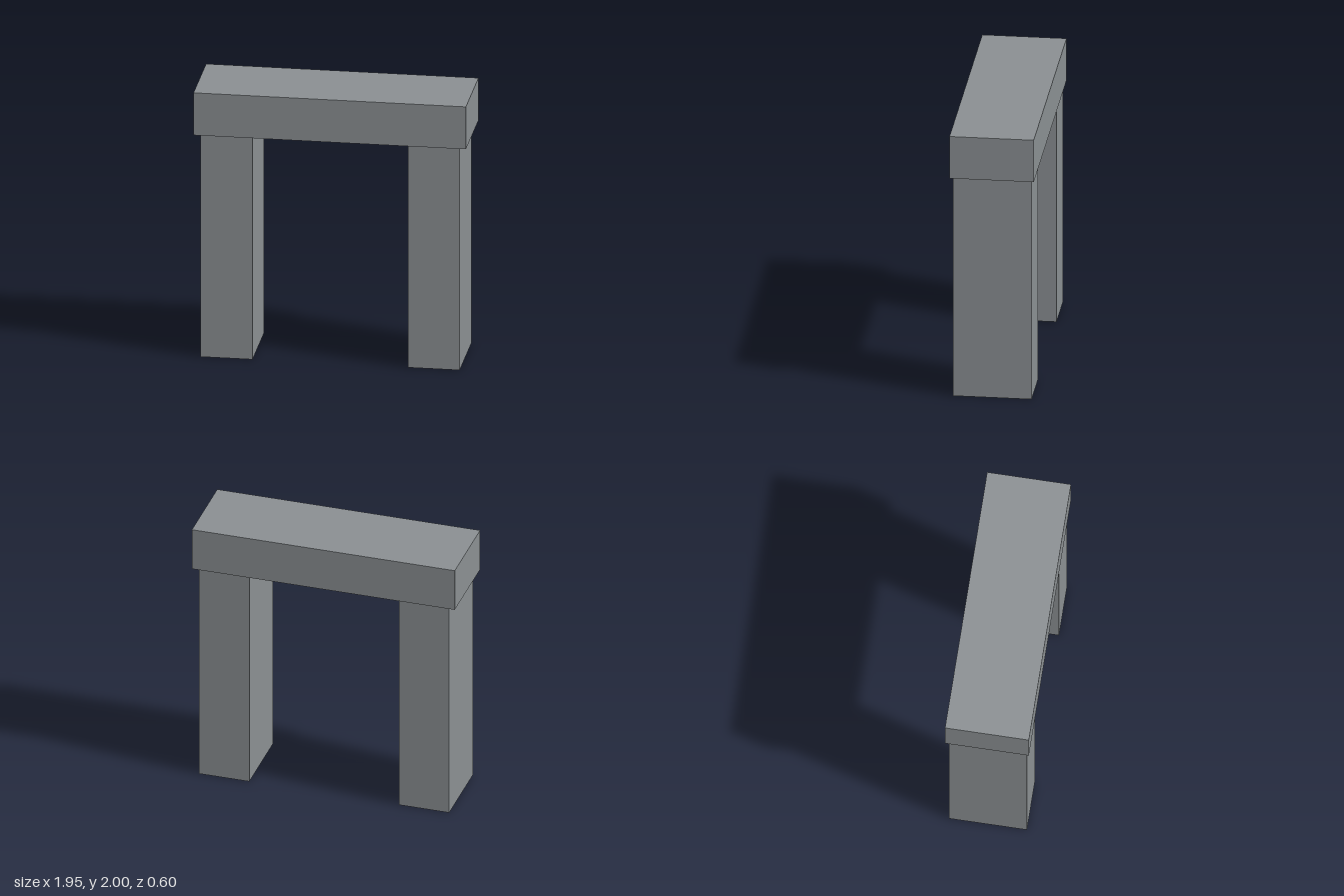
import * as THREE from 'three';

export function createModel() {
  const group = new THREE.Group();
  group.name = 'stoneArch';

  const stone = new THREE.MeshStandardMaterial({ color: 0x8a8f92 });
  stone.name = 'stone grey';

  const height = 2;
  const pillarHeight = 1.68;

  function addBlock(name, width, blockHeight, depth, x, bottom) {
    const mesh = new THREE.Mesh(new THREE.BoxGeometry(width, blockHeight, depth), stone);
    mesh.name = name;
    mesh.position.set(x, bottom + blockHeight / 2, 0);
    group.add(mesh);
  }

  // Two upright pillars, mirrored
  for (const [name, side] of [['leftPillar', 1], ['rightPillar', -1]]) {
    addBlock(name, 0.372, pillarHeight, 0.56, side * 0.743, 0);
  }

  // Lintel resting on the pillars, overhanging slightly
  addBlock('lintel', 1.954, height - pillarHeight, 0.602, 0, pillarHeight);

  return group;
}
